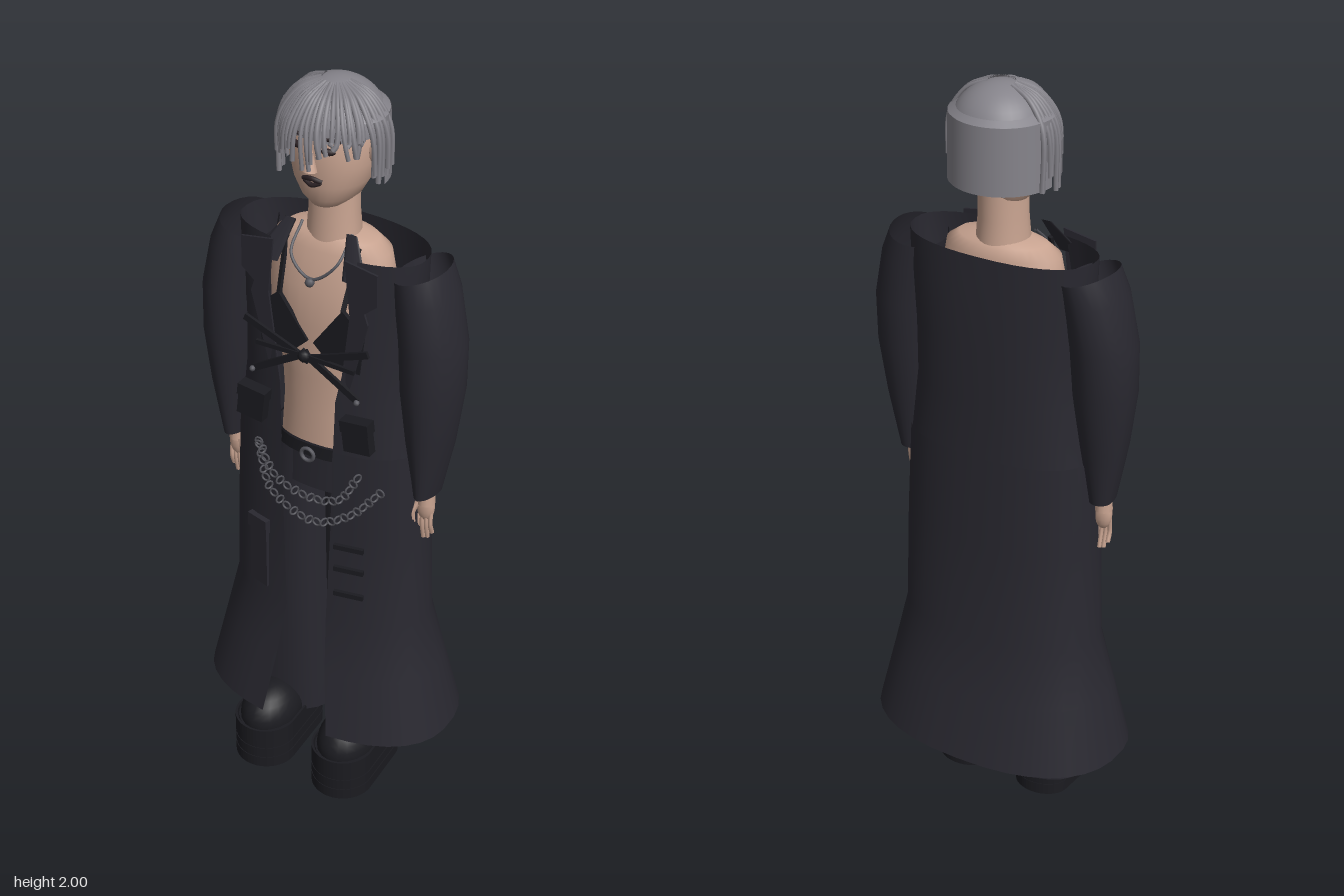
import * as THREE from 'three';

const material = (color, roughness = 0.85) =>
  new THREE.MeshStandardMaterial({ color, roughness, side: THREE.DoubleSide });
const cloth = material(0x292830), black = material(0x1b1b20), skin = material(0xc9a491);
const hairMat = material(0x85838a), metal = material(0x55555c), dark = material(0x2c2225);

const V = (x, y, z) => new THREE.Vector3(x, y, z);

function add(parent, name, geometry, mat, pos = [0, 0, 0], rot = [0, 0, 0], scale = [1, 1, 1]) {
  const mesh = new THREE.Mesh(geometry, mat);
  mesh.name = name;
  mesh.position.set(...pos);
  mesh.rotation.set(...rot);
  mesh.scale.set(...scale);
  parent.add(mesh);
  return mesh;
}

// Skin of cross-sections [y, halfWidth, zFront, zBack, frontOpening, centreX, tilt], listed top down
function loft(rings, { n = 32, open = false, power = 0.85 } = {}) {
  const pos = [], index = [], cols = open ? n + 1 : n;
  for (const [y, rx, zf, zb, gap = 0, cx = 0, tilt = 0] of rings) {
    const a0 = open ? Math.asin(Math.min(1, gap / rx) ** (1 / power)) : 0;
    const zc = zf * zb > 0 || zf === zb ? (zf + zb) / 2 : 0;
    for (let j = 0; j < cols; j++) {
      const a = a0 + (2 * Math.PI - 2 * a0) * j / n, s = Math.sin(a), c = Math.cos(a);
      const bend = v => Math.sign(v) * Math.abs(v) ** power;
      pos.push(cx + rx * bend(s), y + tilt * s, zc + Math.abs((c > 0 ? zf : zb) - zc) * bend(c));
    }
  }
  for (let i = 0; i < rings.length - 1; i++) for (let j = 0; j < n; j++) {
    const k = (j + 1) % cols, a = i * cols + j, b = i * cols + k;
    index.push(a, a + cols, b, b, a + cols, b + cols);
  }
  const g = new THREE.BufferGeometry();
  g.setAttribute('position', new THREE.Float32BufferAttribute(pos, 3));
  g.setIndex(index);
  g.computeVertexNormals();
  return g;
}

const tube = (pts, r, seg = 16, closed = false) =>
  new THREE.TubeGeometry(new THREE.CatmullRomCurve3(pts.map(p => V(...p)), closed), seg, r, 6, closed);

const plate = (pts, depth) => new THREE.ExtrudeGeometry(
  new THREE.Shape(pts.map(p => new THREE.Vector2(...p))), { depth, bevelEnabled: false });

// Ribbon-like strap between two points
function strap(parent, name, a, b, width, mat = black) {
  const p = V(...a), q = V(...b), d = q.clone().sub(p);
  const m = add(parent, name, new THREE.BoxGeometry(d.length(), width, 0.008), mat);
  m.position.copy(p.add(q).multiplyScalar(0.5));
  m.quaternion.setFromUnitVectors(V(1, 0, 0), d.normalize());
}

// Row of alternating links along a hanging curve
function chain(parent, name, pts, count) {
  const curve = new THREE.CatmullRomCurve3(pts.map(p => V(...p)));
  for (let i = 0; i <= count; i++) {
    const p = curve.getPointAt(i / count);
    add(parent, name, new THREE.TorusGeometry(0.011, 0.0028, 5, 10), metal, [p.x, p.y, p.z], [0, i % 2 ? 1.1 : 0, 0]);
  }
}

function buildCoat(g) {
  add(g, 'coatBodice', loft([
    [1.59, 0.255, 0.1, -0.125, 0.12], [1.5, 0.25, 0.112, -0.132, 0.13], [1.35, 0.235, 0.125, -0.138, 0.11],
    [1.2, 0.235, 0.13, -0.138, 0.08], [1.04, 0.255, 0.132, -0.142, 0.075]], { open: true }), cloth);
  add(g, 'coatSkirt', loft([
    [1.05, 0.26, 0.134, -0.143, 0.075], [0.8, 0.272, 0.136, -0.152, 0.07], [0.52, 0.278, 0.142, -0.165, 0.06],
    [0.36, 0.315, 0.175, -0.2, 0.075], [0.18, 0.358, 0.212, -0.242, 0.1]], { open: true }), cloth);
  // Cargo pocket and side tabs
  add(g, 'cargoPocket', new THREE.BoxGeometry(0.06, 0.2, 0.012), cloth, [-0.15, 0.65, 0.125], [0, -0.25, 0]);
  add(g, 'pocketFlap', new THREE.BoxGeometry(0.068, 0.04, 0.018), cloth, [-0.15, 0.745, 0.127], [0, -0.25, 0]);
  for (const y of [0.77, 0.7, 0.62]) add(g, 'skirtTab', new THREE.BoxGeometry(0.08, 0.014, 0.01), black, [0.125, y, 0.134], [0, 0.2, 0]);
}

function buildSide(g) {
  // Sleeve with an open, slanted shoulder
  add(g, 'sleeve', loft([
    [1.56, 0.065, 0.085, -0.1, 0, 0.245, 0.018], [1.5, 0.075, 0.095, -0.1, 0, 0.262, 0.012],
    [1.38, 0.083, 0.1, -0.09, 0, 0.282], [1.25, 0.08, 0.1, -0.078, 0, 0.286],
    [1.1, 0.06, 0.088, -0.055, 0, 0.286], [0.94, 0.03, 0.068, -0.03, 0, 0.283]], { n: 24, power: 1 }), cloth);
  // Lapel and collar flap
  add(g, 'lapel', plate([[0.1, 1.6], [0.19, 1.585], [0.19, 1.5], [0.155, 1.47], [0.165, 1.44], [0.11, 1.22], [0.085, 1.2], [0.115, 1.45]], 0.006),
    cloth, [0, 0.0, 0.112]);
  add(g, 'collarFlap', loft([[1.635, 0.015, 0.06, 0.055, 0, 0.085], [1.54, 0.035, 0.115, 0.11, 0, 0.125]], { n: 8 }), cloth);
  // Hand
  add(g, 'wrist', new THREE.CylinderGeometry(0.02, 0.023, 0.06, 12), skin, [0.283, 0.935, 0.018]);
  add(g, 'palm', new THREE.SphereGeometry(1, 14, 10), skin, [0.281, 0.895, 0.018], [0, 0, 0], [0.026, 0.045, 0.017]);
  for (let i = 0; i < 4; i++) {
    const x = 0.263 + i * 0.012, end = [0.81, 0.793, 0.797, 0.815][i];
    add(g, 'finger', tube([[x, 0.885, 0.02], [x, 0.845, 0.024], [x, end, 0.014]], 0.0065, 8), skin);
  }
  add(g, 'thumb', tube([[0.265, 0.91, 0.03], [0.256, 0.88, 0.04], [0.256, 0.85, 0.038]], 0.008, 8), skin);
  // Wide trouser leg
  add(g, 'trouserLeg', loft([
    [1.0, 0.07, 0.1, -0.105, 0, 0.068], [0.85, 0.084, 0.105, -0.12, 0, 0.084], [0.5, 0.118, 0.105, -0.132, 0, 0.119],
    [0.115, 0.138, 0.102, -0.135, 0, 0.14]], { n: 24 }), cloth);
  // Platform boot: stacked rims around a filled sole
  const foot = s => {
    const e = new THREE.Shape();
    e.absellipse(0, -0.155, 0.085 * s, 0.085 * s, Math.PI, 2 * Math.PI);
    e.absellipse(0, 0, 0.076 * s, 0.06 * s, 0, Math.PI);
    e.closePath();
    return e;
  };
  const layer = (name, s, y, h, hollow) => {
    const shape = foot(s);
    if (hollow) shape.holes.push(foot(0.93));
    add(g, name, new THREE.ExtrudeGeometry(shape, { depth: h, bevelEnabled: false, curveSegments: 14 }), black, [0.122, y, 0], [-Math.PI / 2, 0, 0]);
  };
  layer('soleCore', 0.89, 0.006, 0.115, false);
  [[1, 0, 0.032], [0.98, 0.032, 0.008], [1, 0.04, 0.025], [0.98, 0.065, 0.007], [1, 0.072, 0.055]]
    .forEach(([s, y, h]) => layer('soleRim', s, y, h, true));
  add(g, 'bootToe', new THREE.SphereGeometry(1, 20, 14), black, [0.122, 0.125, 0.125], [0, 0, 0], [0.078, 0.085, 0.105]);
  add(g, 'bootShaft', new THREE.CylinderGeometry(0.068, 0.073, 0.3, 20), black, [0.122, 0.26, 0.015]);
  // Top cup, straps and pouch
  add(g, 'chestCup', plate([[0.008, 1.34], [0.09, 1.455], [0.15, 1.4], [0.14, 1.29], [0.06, 1.29]], 0.012), black, [0, 0, 0.1]);
  strap(g, 'cupStrap', [0.09, 1.45, 0.107], [0.1, 1.6, 0.05], 0.012);
  strap(g, 'upperStrap', [-0.01, 1.3, 0.134], [0.175, 1.37, 0.132], 0.018);
  strap(g, 'middleStrap', [0, 1.315, 0.138], [0.14, 1.31, 0.136], 0.012);
  strap(g, 'lowerStrap', [-0.01, 1.325, 0.136], [0.15, 1.23, 0.136], 0.018);
  add(g, 'strapStud', new THREE.SphereGeometry(0.008, 8, 6), metal, [0.15, 1.23, 0.142]);
  add(g, 'pouch', new THREE.BoxGeometry(0.075, 0.085, 0.028), black, [0.152, 1.13, 0.138], [0, 0, 0.12]);
  add(g, 'pouchFlap', new THREE.BoxGeometry(0.08, 0.032, 0.034), black, [0.149, 1.16, 0.138], [0, 0, 0.12]);
  // Face features
  add(g, 'eye', new THREE.SphereGeometry(1, 12, 8), dark, [0.042, 1.86, 0.094], [0, 0.3, 0], [0.018, 0.009, 0.009]);
  add(g, 'eyebrow', tube([[0.02, 1.888, 0.103], [0.045, 1.895, 0.1], [0.07, 1.887, 0.085]], 0.004, 8), dark);
  add(g, 'ear', new THREE.SphereGeometry(1, 10, 8), skin, [0.108, 1.84, -0.005], [0, 0, 0], [0.012, 0.032, 0.02]);
}

function buildBody(g) {
  add(g, 'torso', loft([
    [1.61, 0.05, 0.05, -0.06], [1.6, 0.12, 0.055, -0.075], [1.575, 0.155, 0.075, -0.09], [1.48, 0.17, 0.1, -0.105], [1.38, 0.165, 0.108, -0.105],
    [1.22, 0.135, 0.098, -0.09], [1.12, 0.13, 0.098, -0.09], [1.0, 0.14, 0.098, -0.1]], { power: 0.95 }), skin);
  add(g, 'neck', loft([[1.76, 0.062, 0.05, -0.075], [1.66, 0.063, 0.055, -0.07], [1.58, 0.07, 0.06, -0.075]], { power: 1 }), skin);
  add(g, 'head', loft([
    [1.965, 0.04, 0.04, -0.05], [1.93, 0.09, 0.085, -0.095], [1.87, 0.106, 0.1, -0.105], [1.81, 0.105, 0.1, -0.1],
    [1.76, 0.094, 0.096, -0.085], [1.72, 0.072, 0.087, -0.065], [1.695, 0.046, 0.07, -0.045], [1.688, 0.002, 0.002, -0.002]], { power: 0.95 }), skin);
  add(g, 'nose', new THREE.ConeGeometry(0.018, 0.06, 10), skin, [0, 1.835, 0.103], [-0.15, 0, 0]);
  add(g, 'upperLip', tube([[-0.026, 1.777, 0.095], [0, 1.784, 0.102], [0.026, 1.777, 0.095]], 0.006, 10), dark);
  add(g, 'lowerLip', tube([[-0.022, 1.774, 0.095], [0, 1.767, 0.101], [0.022, 1.774, 0.095]], 0.006, 10), dark);
  // Waist, belt and jewellery
  add(g, 'trouserWaist', loft([[1.035, 0.146, 0.104, -0.107], [0.9, 0.158, 0.107, -0.117]]), cloth);
  add(g, 'belt', loft([[1.035, 0.15, 0.112, -0.112], [1.0, 0.153, 0.113, -0.115]]), black);
  add(g, 'buckle', new THREE.TorusGeometry(0.018, 0.005, 8, 18), metal, [0, 1.015, 0.128]);
  add(g, 'necklace', tube([[-0.07, 1.62, 0.03], [-0.062, 1.56, 0.095], [0, 1.515, 0.108], [0.062, 1.56, 0.095], [0.07, 1.62, 0.03]], 0.004, 28), metal);
  add(g, 'pendant', new THREE.SphereGeometry(0.012, 10, 8), metal, [0, 1.508, 0.112]);
  add(g, 'strapKnot', new THREE.SphereGeometry(0.016, 10, 8), black, [0, 1.315, 0.14]);
  chain(g, 'upperChain', [[-0.14, 1.01, 0.135], [-0.09, 0.93, 0.143], [0, 0.895, 0.14], [0.1, 0.92, 0.143], [0.15, 1.0, 0.135]], 17);
  chain(g, 'lowerChain', [[-0.14, 1.0, 0.135], [-0.1, 0.88, 0.143], [0.02, 0.825, 0.142], [0.13, 0.88, 0.14], [0.21, 0.97, 0.125]], 22);
}

function buildHair(g) {
  add(g, 'hairCap', new THREE.SphereGeometry(1, 32, 12, 0, Math.PI * 2, 0, Math.PI / 2), hairMat, [0, 1.885, -0.015], [0, 0, 0], [0.123, 0.115, 0.122]);
  add(g, 'backHair', new THREE.CylinderGeometry(0.132, 0.135, 0.17, 28, 1, true, Math.PI / 2, Math.PI), hairMat, [0, 1.842, -0.005]);
  add(g, 'backHairTop', loft([[1.96, 0.085, 0.07, -0.1], [1.927, 0.132, 0.08, -0.137]], { power: 1 }), hairMat);
  // Strands combed from the crown over the brow and temples
  let seed = 7;
  const rand = () => (seed = (seed * 16807) % 2147483647) / 2147483647;
  for (let i = 0; i < 36; i++) {
    const a = -1.75 + 3.5 * i / 35 + (rand() - 0.5) * 0.07, side = Math.abs(a) / 1.75;
    const r = 0.126 + rand() * 0.008;
    const end = side > 0.6 ? 1.74 + rand() * 0.06 : (a < 0.2 ? 1.81 : 1.85) + rand() * 0.05;
    const at = (k, y, turn = 0) => [Math.sin(a + turn) * r * k, y, -0.012 + Math.cos(a + turn) * r * k];
    const drift = (rand() - 0.5) * 0.2;
    add(g, 'hairStrand', tube([at(0.25, 1.994), at(0.65, 1.972), at(0.94, 1.925), at(1.04, 1.885, drift * 0.4), at(1.05, end, drift)],
      0.0055 + rand() * 0.002, 16), hairMat);
  }
}

export function createModel() {
  const model = new THREE.Group();
  model.name = 'coatedFigure';
  const parts = { body: buildBody, coat: buildCoat, hair: buildHair, leftSide: buildSide, rightSide: buildSide };
  for (const [name, build] of Object.entries(parts)) {
    const group = new THREE.Group();
    group.name = name;
    build(group);
    if (name === 'rightSide') group.scale.x = -1;
    model.add(group);
  }
  return model;
}
